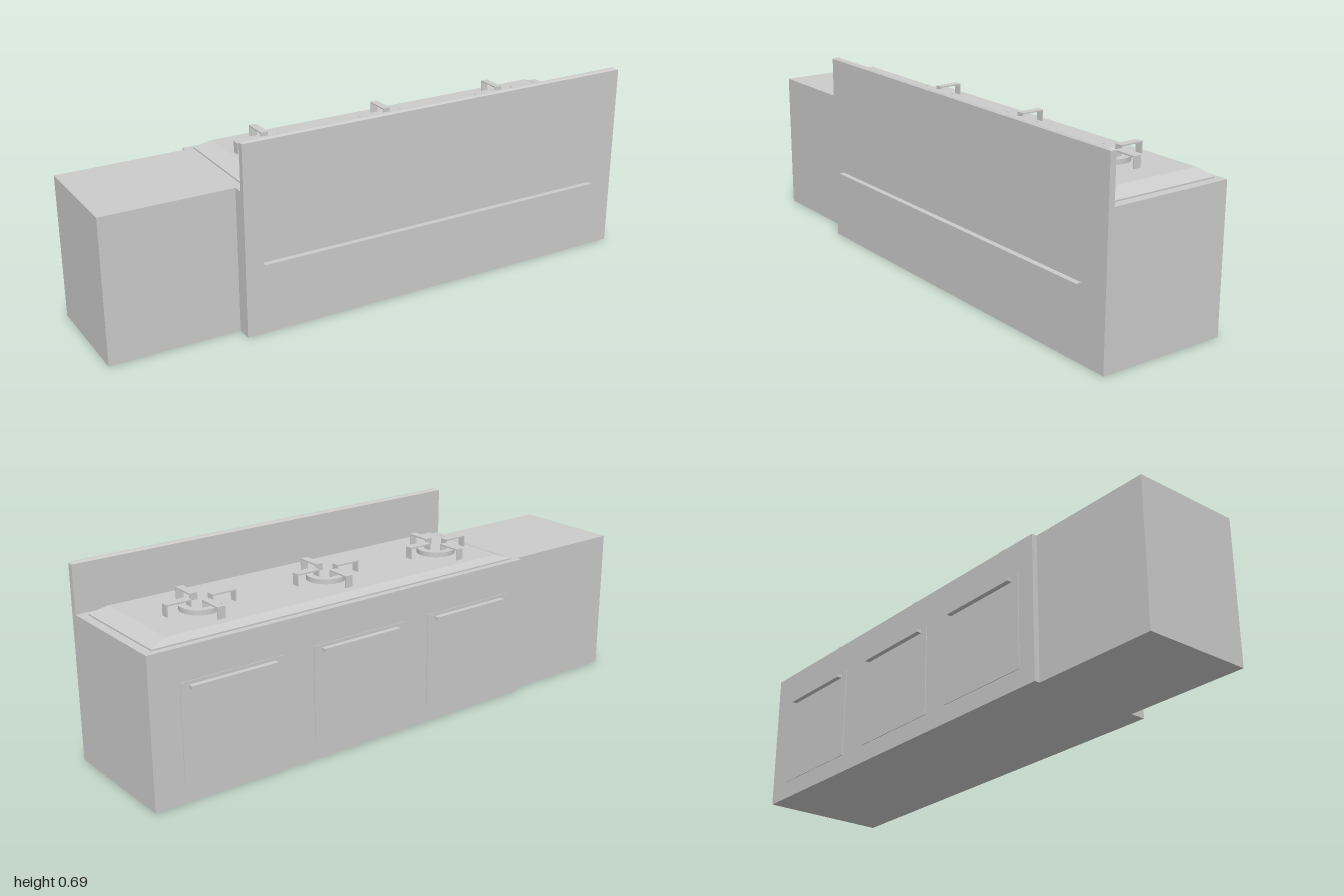
import * as THREE from 'three';

const material = new THREE.MeshStandardMaterial({ color: 0xcccccc });
const sheet = new THREE.MeshStandardMaterial({ color: 0xcccccc, side: THREE.DoubleSide });

function add(parent, name, geometry, mat = material) {
  const mesh = new THREE.Mesh(geometry, mat);
  mesh.name = name;
  parent.add(mesh);
  return mesh;
}

// Box given by its limits; the top face can be drawn in by insetX and insetZ
function block(parent, name, [x0, x1], [y0, y1], [z0, z1], insetX = 0, insetZ = 0) {
  const g = new THREE.BoxGeometry(x1 - x0, y1 - y0, z1 - z0);
  const p = g.attributes.position;
  for (let i = 0; i < p.count; i++) {
    if (p.getY(i) > 0) {
      p.setX(i, p.getX(i) - Math.sign(p.getX(i)) * insetX);
      p.setZ(i, p.getZ(i) - Math.sign(p.getZ(i)) * insetZ);
    }
  }
  g.computeVertexNormals();
  g.translate((x0 + x1) / 2, (y0 + y1) / 2, (z0 + z1) / 2);
  return add(parent, name, g);
}

// Burner disc with four bent pan supports around it
function makeBurner(x) {
  const burner = new THREE.Group();
  burner.name = 'burner';
  burner.position.set(x, 0.542, -0.036);
  const disc = add(burner, 'burnerDisc', new THREE.CylinderGeometry(0.069, 0.069, 0.017, 32));
  disc.position.y = 0.0085;
  for (let i = 0; i < 4; i++) {
    const support = new THREE.Group();
    support.name = 'panSupport';
    support.rotation.y = i * Math.PI / 2;
    const w = [-0.014, 0.014];
    block(support, 'supportOuterLeg', [0.124, 0.128], [0, 0.036], w);
    block(support, 'supportBar', [0.038, 0.128], [0.036, 0.041], w);
    block(support, 'supportInnerLeg', [0.038, 0.042], [0.017, 0.036], w);
    burner.add(support);
  }
  return burner;
}

// Oven door: thin panel with a handle bar
function makeDoor(x) {
  const door = new THREE.Group();
  door.name = 'ovenDoor';
  door.position.x = x;
  block(door, 'doorPanel', [-0.188, 0.188], [0.065, 0.403], [-0.2395, -0.236]);
  block(door, 'doorHandle', [-0.158, 0.158], [0.381, 0.392], [-0.258, -0.237]);
  return door;
}

export function createModel() {
  const model = new THREE.Group();
  model.name = 'cookingRange';

  // Range body and the lower side counter
  block(model, 'rangeBody', [-0.535, 0.998], [0, 0.517], [-0.237, 0.238]);
  block(model, 'sideCounter', [-1, -0.535], [0, 0.517], [-0.217, 0.18]);

  // Tall splash panel with a chamfered top edge
  block(model, 'splashPanel', [-0.535, 0.998], [0.517, 0.684], [0.216, 0.238]);
  block(model, 'splashPanelCap', [-0.535, 0.998], [0.684, 0.69], [0.216, 0.238], 0.014, 0.005);

  // Hob plate: low step, then a sloped rim
  block(model, 'hobStep', [-0.505, 0.967], [0.517, 0.522], [-0.214, 0.187]);
  block(model, 'hobPlate', [-0.505, 0.967], [0.522, 0.542], [-0.214, 0.187], 0.06, 0.019);

  // Thin ledge along the front
  const ledge = new THREE.PlaneGeometry(1.365, 0.022).rotateX(-Math.PI / 2);
  add(model, 'frontLedge', ledge, sheet).position.set(0.209, 0.26, 0.247);

  for (const x of [-0.3, 0.193, 0.69]) model.add(makeBurner(x));
  for (const x of [-0.278, 0.206, 0.703]) model.add(makeDoor(x));
  return model;
}
